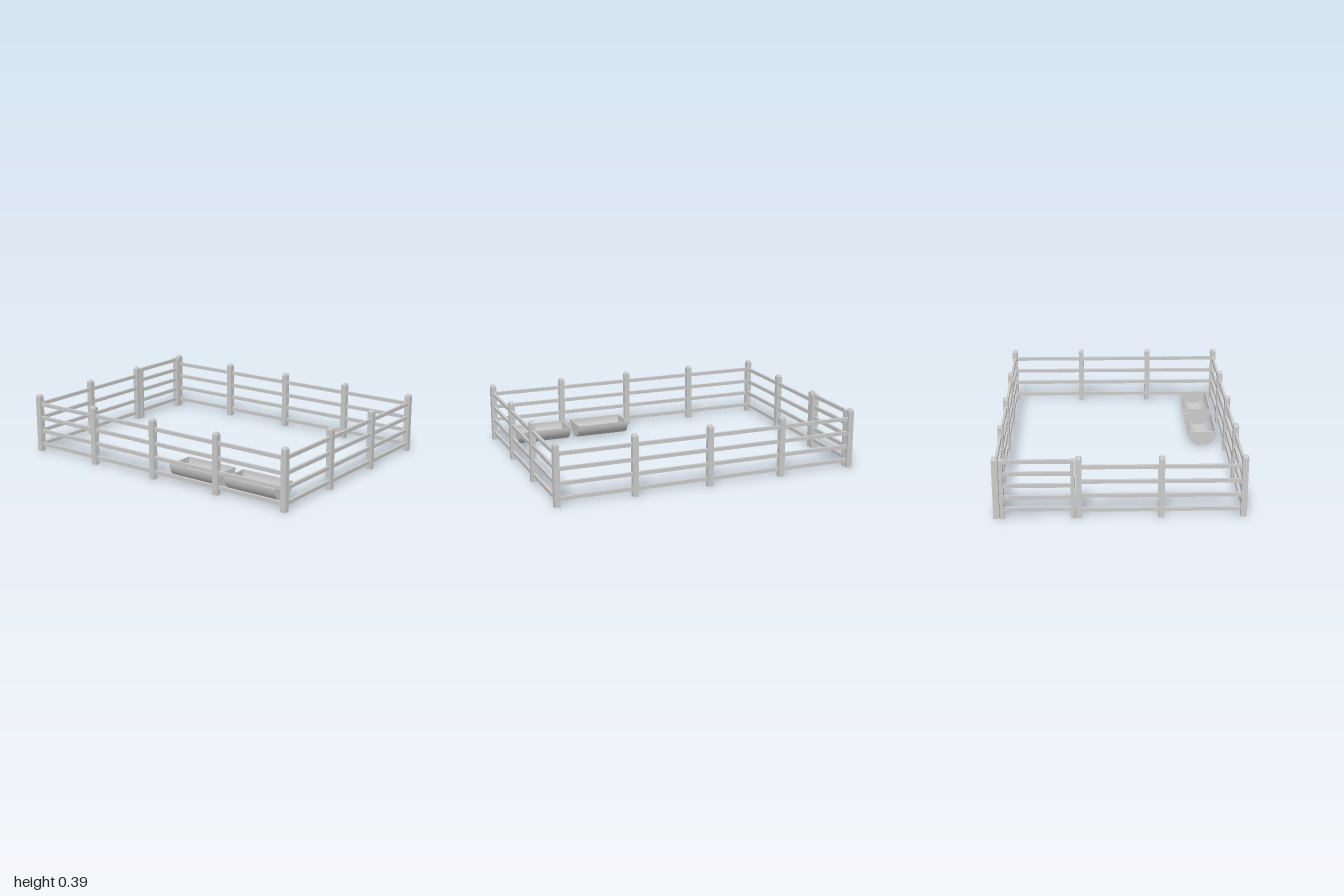
import * as THREE from 'three';
import { mergeGeometries, toCreasedNormals } from 'three/addons/utils/BufferGeometryUtils.js';

const material = new THREE.MeshStandardMaterial({ color: 0xcccccc });

const BAY = 0.489;            // distance between post centres
const HX = BAY * 2;           // half length of the pen
const HZ = BAY * 1.5;         // half depth of the pen
const POST = 0.036;
const RAIL_Y = [0.048, 0.14, 0.23, 0.323];
const RAIL_H = 0.023, RAIL_T = 0.016;

function add(parent, name, geometry, x = 0, y = 0, z = 0) {
  const mesh = new THREE.Mesh(geometry, material);
  mesh.name = name;
  mesh.position.set(x, y, z);
  parent.add(mesh);
  return mesh;
}

// Square post with a chamfered top
function postGeometry() {
  const r = POST / Math.SQRT2, shaft = 0.376, cap = 0.013;
  const top = new THREE.CylinderGeometry(r * 0.6, r, cap, 4).toNonIndexed();
  top.rotateY(Math.PI / 4);
  top.translate(0, shaft + cap / 2, 0);
  top.computeVertexNormals();
  const body = new THREE.BoxGeometry(POST, shaft, POST).toNonIndexed();
  body.translate(0, shaft / 2, 0);
  return mergeGeometries([body, top]);
}

// Four rails spanning one bay along x or z
function railBay(parent, x, z, alongX) {
  const bay = new THREE.Group();
  bay.name = 'railBay';
  const len = BAY - POST + 0.004;
  const geo = alongX
    ? new THREE.BoxGeometry(len, RAIL_H, RAIL_T)
    : new THREE.BoxGeometry(RAIL_T, RAIL_H, len);
  for (const y of RAIL_Y) add(bay, 'rail', geo, 0, y, 0);
  bay.position.set(x, 0, z);
  parent.add(bay);
}

// Gate: two wide stiles and five bars
function createGate() {
  const gate = new THREE.Group();
  gate.name = 'gate';
  const height = 0.372, half = 0.21;
  const stile = new THREE.BoxGeometry(0.046, height, 0.025);
  const bar = new THREE.BoxGeometry(RAIL_T, 0.024, half * 2 - 0.02);
  for (const s of [-1, 1]) add(gate, 'gateStile', stile, 0, height / 2, s * half);
  for (let i = 0; i < 5; i++) add(gate, 'gateBar', bar, 0, 0.054 + i * 0.0765, 0);
  return gate;
}

// Half-round trough lying along x, open at the top, closed at both ends
function createTrough() {
  const trough = new THREE.Group();
  trough.name = 'trough';
  const R = 0.097, wall = 0.006, length = 0.365, steps = 10;

  const shell = new THREE.Shape();
  shell.absarc(0, 0, R, Math.PI, Math.PI * 2, false);
  shell.lineTo(R - wall, 0);
  shell.absarc(0, 0, R - wall, Math.PI * 2, Math.PI, true);
  shell.closePath();

  const disc = new THREE.Shape();
  disc.absarc(0, 0, R - wall / 2, Math.PI, Math.PI * 2, false);
  disc.closePath();

  const extrude = (shape, depth) => {
    const g = new THREE.ExtrudeGeometry(shape, { depth, bevelEnabled: false, curveSegments: steps });
    g.translate(0, 0, -depth / 2);
    g.rotateY(Math.PI / 2);
    return toCreasedNormals(g, 0.7);
  };
  add(trough, 'troughShell', extrude(shell, length), 0, R, 0);
  const end = extrude(disc, wall);
  for (const s of [-1, 1]) add(trough, 'troughEnd', end, s * (length / 2 - wall / 2 - 0.002), R, 0);
  return trough;
}

export function createModel() {
  const model = new THREE.Group();
  model.name = 'livestockPen';

  const fence = new THREE.Group();
  fence.name = 'fence';
  model.add(fence);
  const post = postGeometry();

  // Front and back: five posts and four bays each
  for (const z of [-HZ, HZ]) {
    for (let i = 0; i < 5; i++) add(fence, 'post', post, -HX + i * BAY, 0, z);
    for (let i = 0; i < 4; i++) railBay(fence, -HX + (i + 0.5) * BAY, z, true);
  }

  // Sides: two middle posts and three bays, the gate taking one rear bay
  for (const x of [-HX, HX]) {
    for (const z of [-BAY / 2, BAY / 2]) add(fence, 'post', post, x, 0, z);
    for (let i = 0; i < 3; i++) {
      if (x < 0 && i === 0) continue;
      railBay(fence, x, -HZ + (i + 0.5) * BAY, false);
    }
  }

  const gate = createGate();
  gate.position.set(-HX, 0, -BAY);
  model.add(gate);

  // Two feeding troughs inside the front fence
  for (const x of [0.265, 0.688]) {
    const trough = createTrough();
    trough.position.set(x, 0, 0.58);
    model.add(trough);
  }

  return model;
}
